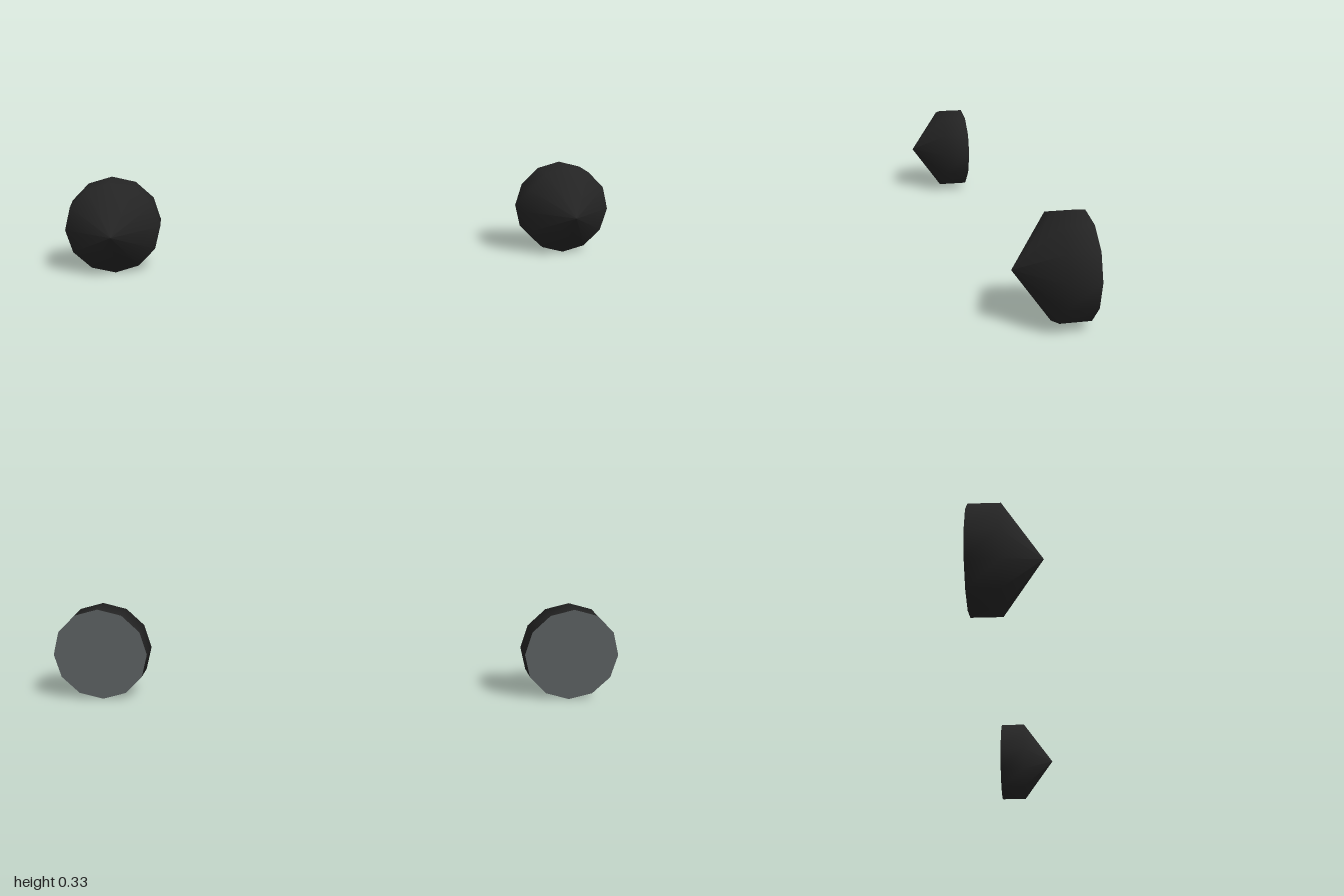
import * as THREE from 'three';

const R = 0.165, SIDES = 12, BACK = -0.109, SHOULDER = -0.012, TIP = 0.109;

export function createModel() {
  const black = new THREE.MeshStandardMaterial({ color: 0x242424 });
  black.name = 'black';
  const grey = new THREE.MeshStandardMaterial({ color: 0x5c6162 });
  grey.name = 'grey';

  // short drum running smoothly into a blunt cone, pointing forward
  const profile = [[R, BACK], [R, SHOULDER], [0, TIP]].map(([r, z]) => new THREE.Vector2(r, z));
  const shellShape = new THREE.LatheGeometry(profile, SIDES).rotateX(Math.PI / 2);
  // flat disc closing the back
  const capShape = new THREE.CircleGeometry(R, SIDES).rotateY(Math.PI).translate(0, 0, BACK);

  const model = new THREE.Group();
  model.name = 'conePair';
  for (const [side, name] of [[1, 'left'], [-1, 'right']]) {
    const cone = new THREE.Group();
    cone.name = name + 'Cone';
    const shell = new THREE.Mesh(shellShape, black);
    shell.name = name + 'Shell';
    const cap = new THREE.Mesh(capShape, grey);
    cap.name = name + 'BackCap';
    cone.add(shell, cap);
    cone.position.set(side * (1 - R), R, 0);
    model.add(cone);
  }
  return model;
}
